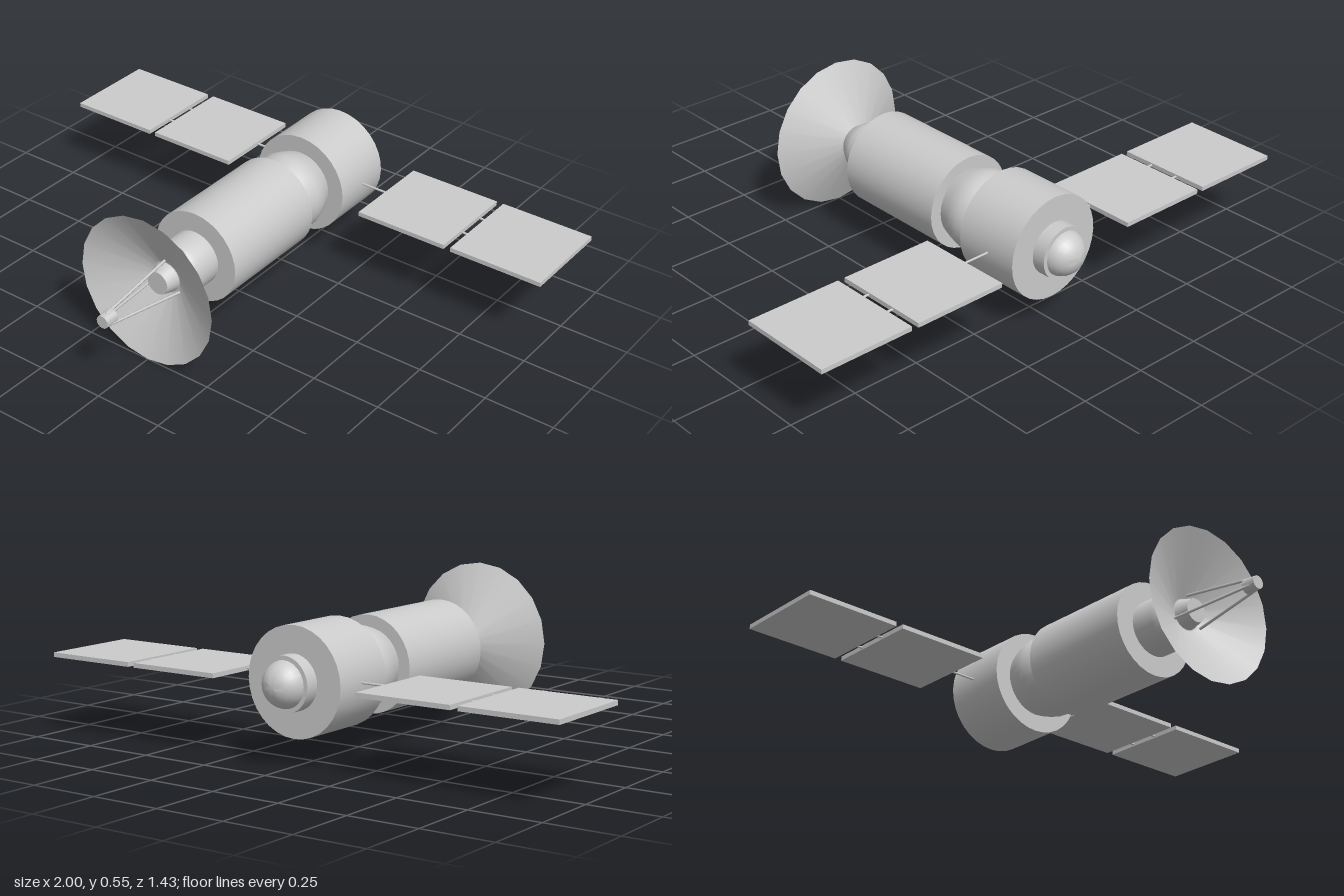
import * as THREE from 'three';
import { toCreasedNormals } from 'three/addons/utils/BufferGeometryUtils.js';

const AXIS_Y = 0.28;

export function createModel() {
  const model = new THREE.Group();
  model.name = 'satellite';
  const grey = new THREE.MeshStandardMaterial({ color: 0xcccccc });
  const thin = new THREE.MeshStandardMaterial({ color: 0xcccccc, side: THREE.DoubleSide });

  const add = (name, geometry, parent, material = grey) => {
    const mesh = new THREE.Mesh(geometry, material);
    mesh.name = name;
    parent.add(mesh);
    return mesh;
  };

  // Everything is laid out around the long axis, front towards +z
  const craft = new THREE.Group();
  craft.name = 'craft';
  craft.position.y = AXIS_Y;
  model.add(craft);

  // Turned part from [radius, z] pairs, running back to front
  const turned = (name, profile, sides = 32, material = grey) => {
    const points = profile.map(([r, z]) => new THREE.Vector2(r, z));
    const geometry = new THREE.LatheGeometry(points, sides).rotateX(Math.PI / 2);
    return add(name, toCreasedNormals(geometry, 0.5), craft, material);
  };
  const drum = (name, r, back, front) =>
    turned(name, [[0, back], [r, back], [r, front], [0, front]]);

  // Round rod between two points
  const rod = (name, a, b, radius, parent) => {
    const dir = b.clone().sub(a);
    const mesh = add(name, new THREE.CylinderGeometry(radius, radius, dir.length(), 8), parent);
    mesh.position.copy(a).add(b).multiplyScalar(0.5);
    mesh.quaternion.setFromUnitVectors(new THREE.Vector3(0, 1, 0), dir.normalize());
  };

  // Hull, from the tail forwards
  const dome = [];
  for (let i = 0; i <= 8; i++) {
    const t = (i / 8) * Math.PI / 2;
    dome.push([0.08 * Math.sin(t), -0.635 - 0.08 * Math.cos(t)]);
  }
  turned('tailDome', dome, 24);
  drum('tailCollar', 0.093, -0.65, -0.59);
  drum('serviceDrum', 0.184, -0.6, -0.357);
  turned('roundJoint', [[0, -0.37], [0.118, -0.37], [0.126, -0.35], [0.139, -0.315],
    [0.145, -0.29], [0.145, -0.265], [0.138, -0.235], [0.125, -0.195], [0, -0.195]]);
  drum('mainBody', 0.168, -0.197, 0.241);
  turned('neck', [[0, 0.23], [0.097, 0.23], [0.097, 0.325], [0.088, 0.352],
    [0.062, 0.392], [0, 0.392]]);

  // Dish with its feed horn, struts and receiver
  turned('dish', [[0.055, 0.391], [0.273, 0.5]], 20, thin);
  turned('feedHorn', [[0, 0.385], [0.055, 0.385], [0.042, 0.44], [0, 0.44]], 20);
  turned('receiver', [[0, 0.667], [0.026, 0.667], [0.023, 0.715], [0, 0.715]], 16);
  for (let i = 0; i < 3; i++) {
    const a = Math.PI / 2 + (i * Math.PI * 2) / 3;
    const at = (r, z) => new THREE.Vector3(r * Math.cos(a), r * Math.sin(a), z);
    rod('receiverStrut', at(0.068, 0.4), at(0.021, 0.695), 0.005, craft);
  }

  // Solar wings, one each side
  for (const side of [-1, 1]) {
    const wing = new THREE.Group();
    wing.name = side > 0 ? 'leftWing' : 'rightWing';
    craft.add(wing);
    const at = (x, z) => new THREE.Vector3(side * x, 0, z);
    rod('wingArm', at(0.16, -0.485), at(0.3, -0.485), 0.004, wing);
    for (const z of [-0.54, -0.427]) rod('panelLink', at(0.62, z), at(0.66, z), 0.004, wing);
    for (const [inner, outer] of [[0.284, 0.629], [0.655, 1]]) {
      const panel = add('solarPanel', new THREE.BoxGeometry(outer - inner, 0.016, 0.35), wing);
      panel.position.set(side * (inner + outer) / 2, 0, -0.485);
    }
  }
  return model;
}
